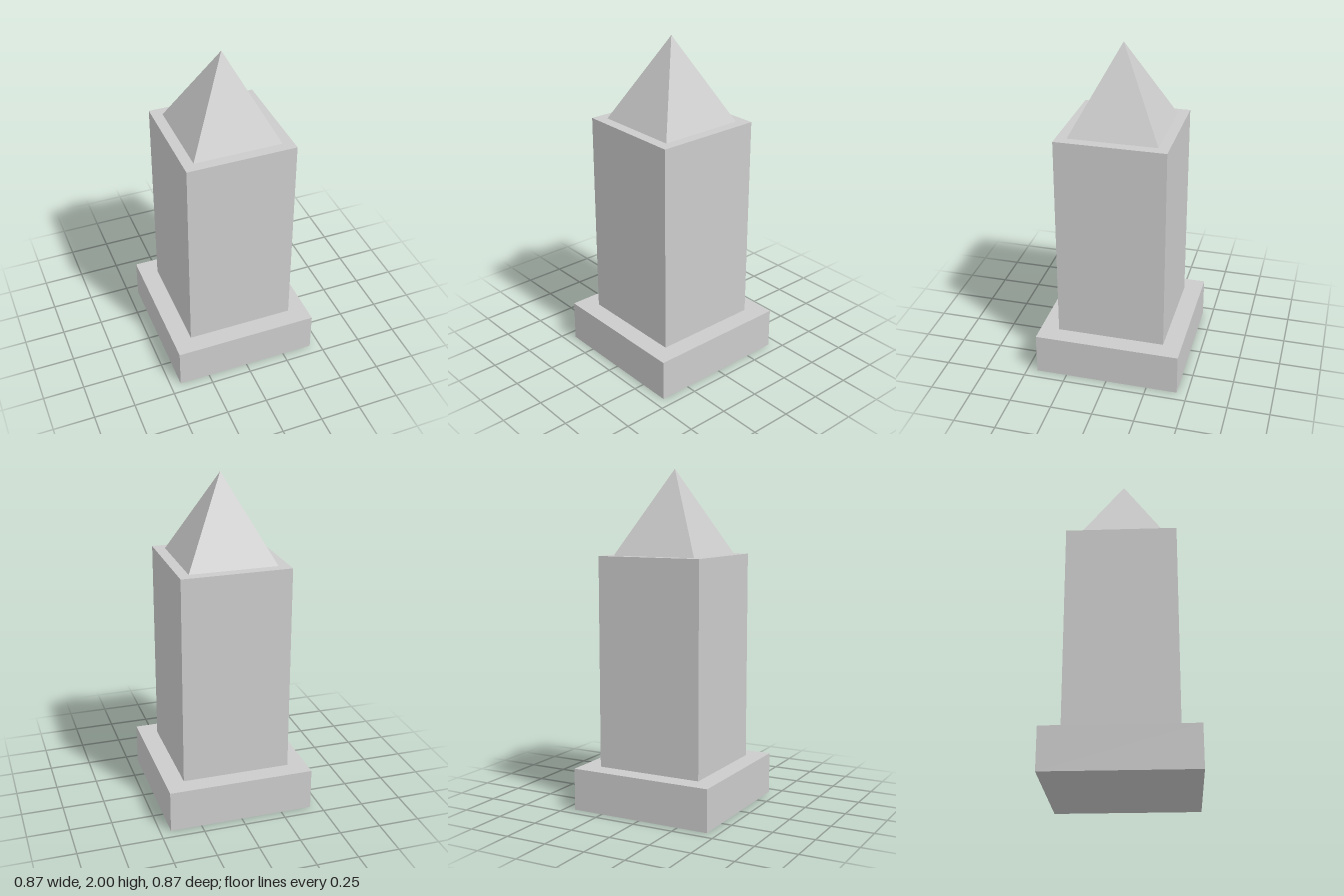
import * as THREE from 'three';

export function createModel() {
  const model = new THREE.Group();
  const stone = new THREE.MeshStandardMaterial({ color: 0xcccccc, flatShading: true });

  // Adds a part whose geometry is centred on its own height
  const addPart = (name, geometry, bottom, height) => {
    const mesh = new THREE.Mesh(geometry, stone);
    mesh.name = name;
    mesh.position.y = bottom + height / 2;
    model.add(mesh);
  };

  // Square plinth and shaft
  addPart('plinth', new THREE.BoxGeometry(0.874, 0.25, 0.874), 0, 0.25);
  addPart('shaft', new THREE.BoxGeometry(0.65, 1.25, 0.65), 0.25, 1.25);

  // Four-sided pyramid cap, turned so its faces line up with the shaft
  const capWidth = 0.524;
  const cap = new THREE.ConeGeometry(capWidth / Math.SQRT2, 0.5, 4).rotateY(Math.PI / 4);
  addPart('pyramidCap', cap, 1.5, 0.5);

  return model;
}
